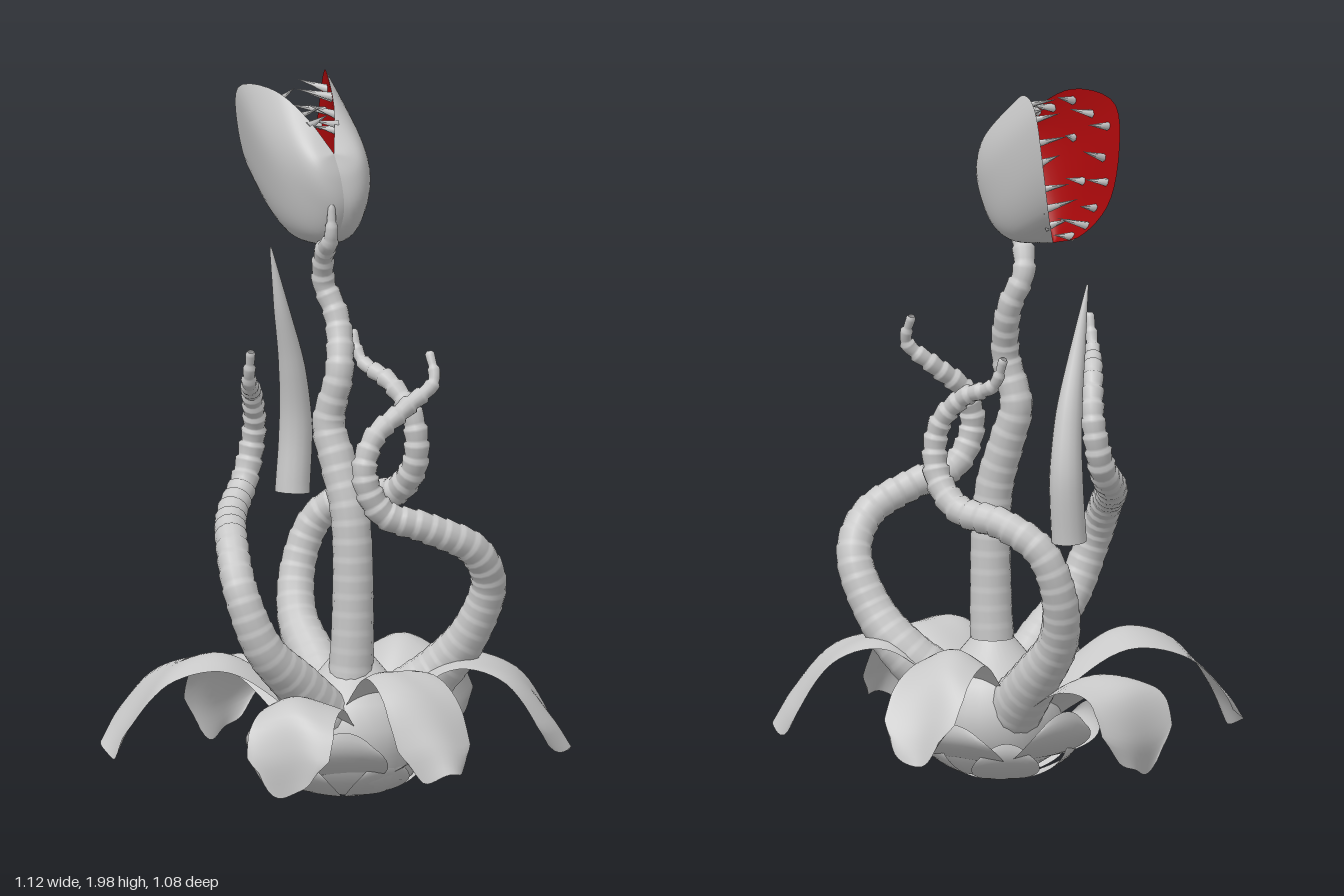
import * as THREE from 'three';

const V = (p) => new THREE.Vector3(...p);
const spline = (pts) => new THREE.CatmullRomCurve3(pts.map(V));

// Surface from a rule fn(u, v) -> Vector3; wrap joins the v edges
function grid(nu, nv, fn, wrap = false) {
  const pos = [], index = [], cols = wrap ? nv : nv + 1;
  for (let i = 0; i <= nu; i++)
    for (let j = 0; j < cols; j++) pos.push(...fn(i / nu, j / nv).toArray());
  for (let i = 0; i < nu; i++)
    for (let j = 0; j < nv; j++) {
      const a = i * cols + j, b = i * cols + (j + 1) % cols;
      index.push(a, b, a + cols, b, b + cols, a + cols);
    }
  const g = new THREE.BufferGeometry();
  g.setAttribute('position', new THREE.Float32BufferAttribute(pos, 3));
  g.setIndex(index);
  g.computeVertexNormals();
  return g;
}

// Linear lookup in an evenly spaced list
function sample(list, t) {
  const f = t * (list.length - 1), i = Math.min(Math.floor(f), list.length - 2);
  return THREE.MathUtils.lerp(list[i], list[i + 1], f - i);
}

// Tapered tube, smooth at the root, with flared ribs growing towards the tip
function vine(pts, radii, ribs, amp) {
  const curve = spline(pts), n = ribs ? ribs * 6 : 24;
  const fr = curve.computeFrenetFrames(n);
  return grid(n, 14, (t, v) => {
    const i = Math.round(t * n), a = v * Math.PI * 2;
    const saw = ribs ? ((i % 6) / 5 - 0.5) * amp * (0.08 + t * t) : 0;
    const r = sample(radii, t) * (1 + saw);
    return curve.getPointAt(t)
      .addScaledVector(fr.normals[i], r * Math.cos(a))
      .addScaledVector(fr.binormals[i], r * Math.sin(a));
  }, true);
}

// Arched petal running out towards (x, z); path holds [share of reach, height]
function petal(x, z, path, width, phase) {
  const reach = Math.hypot(x, z), dx = x / reach, dz = z / reach;
  const curve = spline(path.map(([r, y]) => [r * reach, y, 0]));
  return grid(28, 14, (u, v) => {
    const s = v * 2 - 1;
    const p = curve.getPoint(u * (1 - 0.12 * Math.pow(s, 4) * u * u));
    const w = width * sample([0.7, 0.75, 0.8, 0.9, 1, 1.08, 1.05, 0.72], u) * s;
    const r = p.x + u * u * 0.015 * Math.sin(s * 3 + phase);
    const y = p.y - 0.035 * s * s * (1 - 0.6 * u) + 0.016 * u * Math.sin(3 * s + 6 * u + phase);
    return new THREE.Vector3(dx * r - dz * w, y, dz * r + dx * w);
  });
}

// Curved scale wrapped around the bulb
function scale(angle, radius, y0, y1, half) {
  return grid(12, 10, (u, v) => {
    const s = v * 2 - 1;
    const r = radius * (0.3 + 0.7 * Math.sin(u * 1.9)) + 0.02 * u * u;
    const a = angle + s * half * Math.sqrt(1 - 0.75 * u * u);
    const y = y0 + (y1 - y0) * Math.pow(u, 1.4) * (1 - 0.25 * s * s);
    return new THREE.Vector3(r * Math.cos(a), y, r * Math.sin(a));
  });
}

export function createModel() {
  const model = new THREE.Group();
  const plant = new THREE.MeshStandardMaterial({ color: 0xc8c8c8, side: THREE.DoubleSide });
  plant.name = 'plant grey';
  const red = new THREE.MeshStandardMaterial({ color: 0xa4080a, side: THREE.DoubleSide });
  red.name = 'mouth red';
  const add = (name, geo, mat = plant, parent = model) => {
    const m = new THREE.Mesh(geo, mat);
    m.name = name;
    parent.add(m);
    return m;
  };

  // Bulb and overlapping scales
  const prof = [[0, 0.01], [0.1, 0.015], [0.17, 0.06], [0.2, 0.14], [0.2, 0.21], [0.17, 0.28], [0.11, 0.33], [0.06, 0.39]];
  const bulb = add('bulb', new THREE.LatheGeometry(prof.map(([r, y]) => new THREE.Vector2(r, y)), 32));
  bulb.position.x = 0.03;
  for (let i = 0; i < 5; i++) {
    const a = i * Math.PI * 0.4;
    add('lowerScale', scale(a + 0.3, 0.2, 0, 0.13, 0.6));
    add('upperScale', scale(a + 0.9, 0.26, 0.05, 0.22 - 0.03 * (i % 2), 0.6));
  }

  // Six drooping petals
  const arch = [[0.1, 0.18], [0.3, 0.32], [0.52, 0.4], [0.75, 0.36], [0.92, 0.23], [1, 0.13]];
  const flop = [[0.1, 0.16], [0.35, 0.25], [0.65, 0.33], [0.9, 0.31], [1, 0.2], [1, 0.09]];
  [
    [-0.48, 0.46, arch, 0.135], [0.53, -0.33, arch, 0.13], [0.53, 0.22, arch, 0.11],
    [0.19, 0.49, flop, 0.115], [-0.05, -0.53, arch, 0.105], [-0.54, -0.13, flop, 0.13],
  ].forEach(([x, z, path, w], i) => add('petal', petal(x, z, path, w, i * 1.3)));

  // Main stem
  add('stem', vine([
    [0.04, 0.22, 0.03], [0.055, 0.5, 0.03], [0.045, 0.8, 0.03], [0, 0.95, 0.03], [-0.03, 1.05, 0.03],
    [0.0, 1.2, 0.02], [-0.04, 1.34, -0.02], [-0.08, 1.44, -0.01], [-0.05, 1.53, 0.025],
    [0, 1.58, 0.06], [0.01, 1.68, 0.068],
  ], [0.08, 0.062, 0.058, 0.056, 0.054, 0.05, 0.042, 0.038, 0.033, 0.028, 0.008], 30, 0.22));

  // Three coiling tentacles
  const taper = [0.085, 0.07, 0.057, 0.05, 0.046, 0.043, 0.038, 0.032, 0.025, 0.011];
  add('frontTentacle', vine([
    [0.05, 0.2, 0.1], [0.03, 0.34, 0.24], [0, 0.46, 0.36], [-0.05, 0.62, 0.4], [-0.12, 0.73, 0.35],
    [-0.21, 0.8, 0.24], [-0.25, 0.88, 0.13], [-0.24, 1.02, 0.1], [-0.2, 1.13, 0.16],
    [-0.14, 1.19, 0.25], [-0.11, 1.28, 0.28],
  ], taper, 34, 0.32));
  add('leftTentacle', vine([
    [0.1, 0.24, -0.09], [0.21, 0.35, -0.16], [0.31, 0.47, -0.18], [0.38, 0.62, -0.17], [0.38, 0.72, -0.1],
    [0.31, 0.79, 0.02], [0.23, 0.84, 0.12], [0.2, 0.95, 0.16], [0.21, 1.05, 0.13],
    [0.26, 1.13, 0.05], [0.31, 1.2, -0.01], [0.28, 1.28, -0.03],
  ], taper, 34, 0.32));
  add('backTentacle', vine([
    [-0.08, 0.2, -0.07], [-0.2, 0.32, -0.13], [-0.3, 0.44, -0.17], [-0.335, 0.58, -0.22], [-0.3, 0.71, -0.26],
    [-0.19, 0.78, -0.285], [-0.04, 0.81, -0.285], [0.04, 0.9, -0.27], [0.04, 1.03, -0.26],
    [-0.04, 1.12, -0.26], [-0.15, 1.17, -0.27], [-0.19, 1.25, -0.28],
  ], taper, 34, 0.32));

  // Loose open-ended shoot
  add('looseShoot', vine([
    [-0.42, 0.76, -0.3], [-0.42, 0.95, -0.315], [-0.41, 1.12, -0.285], [-0.405, 1.3, -0.23], [-0.41, 1.47, -0.19],
  ], [0.05, 0.048, 0.038, 0.022, 0.003], 0, 0));

  // Head: two jaws that share a spine on the outside and a hinge on the inside
  const head = new THREE.Group();
  head.name = 'head';
  model.add(head);
  const top = [0, 1.82, 0.045], low = [-0.25, 1.56, -0.12];
  const spine = spline([top, [0.025, 1.75, 0.045], [0.028, 1.66, 0.035], [-0.02, 1.57, 0.01], [-0.11, 1.54, -0.05], low]);
  const hinge = new THREE.LineCurve3(V(top), V(low));
  const jaws = [
    ['frontJaw', [top, [-0.1, 1.91, 0.042], [-0.22, 1.97, 0.03], [-0.39, 1.955, -0.02], [-0.45, 1.83, -0.09],
      [-0.445, 1.69, -0.14], [-0.37, 1.6, -0.16], low], [-0.2, -0.05, 0.97], 0.085],
    ['backJaw', [top, [-0.07, 1.92, -0.045], [-0.19, 1.98, -0.17], [-0.31, 1.96, -0.3], [-0.34, 1.82, -0.31],
      [-0.32, 1.67, -0.25], low], [0.74, -0.05, -0.67], 0.09],
  ];
  for (const [name, rimPts, dir, depth] of jaws) {
    const rim = spline(rimPts), n = V(dir).normalize();
    // Thin at the lip and fullest towards the inner curve
    const sheet = (inner, d) => (u, s) =>
      rim.getPoint(u).lerp(inner.getPoint(u), Math.sin(Math.PI * s / 2))
        .addScaledVector(n, d * Math.sin(Math.PI * s) * Math.sqrt(Math.sin(Math.PI * Math.min(u, 0.9999))));
    const lining = sheet(hinge, depth * 0.4);
    add(name, grid(32, 18, sheet(spine, depth)), plant, head);
    add(name + 'Lining', grid(32, 12, lining), red, head);

    // Long thin teeth: a row along the rim and a few deeper in
    for (let k = 0; k < 12; k++) {
      const deep = k > 9, u = deep ? 0.4 + (k - 10) * 0.2 : 0.14 + k * 0.083;
      const len = deep ? 0.06 : 0.075 + 0.035 * ((k * 7) % 3) / 2;
      const base = lining(u, deep ? 0.35 : 0.1 + 0.05 * (k % 2));
      const aim = n.clone().negate().add(new THREE.Vector3(0.3 * Math.sin(k * 2.4), 0.2, 0.3 * Math.cos(k * 2.4))).normalize();
      const tooth = add('tooth', new THREE.ConeGeometry(0.013, len, 6), plant, head);
      tooth.quaternion.setFromUnitVectors(new THREE.Vector3(0, 1, 0), aim);
      tooth.position.copy(base).addScaledVector(aim, len * 0.45);
    }
  }
  return model;
}
